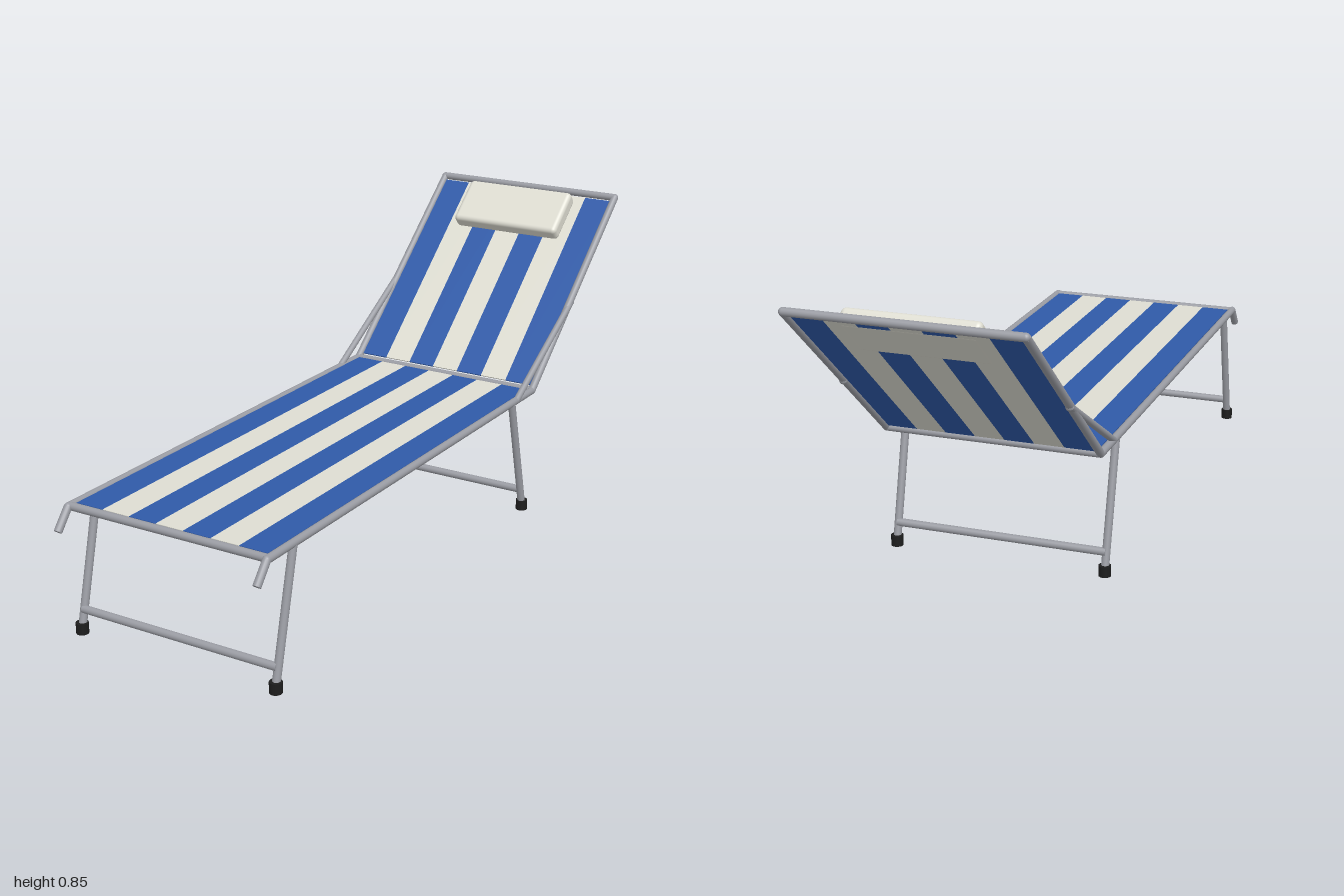
import * as THREE from 'three';
import { RoundedBoxGeometry } from 'three/addons/geometries/RoundedBoxGeometry.js';

const material = (name, color) => {
  const m = new THREE.MeshStandardMaterial({ color });
  m.name = name;
  return m;
};

export function createModel() {
  const metal = material('grey metal', 0x9a9ca3);
  const blue = material('blue canvas', 0x2f5aa8);
  const cream = material('cream canvas', 0xdeddd2);
  const rubber = material('black rubber', 0x1d1d1d);

  const model = new THREE.Group();
  model.name = 'sunLounger';
  const R = 0.011, X = 0.301, SEAT = 0.363;
  const hinge = new THREE.Vector3(0, SEAT, -0.44);
  const head = new THREE.Vector3(0, 0.836, -0.988);

  const add = (name, geometry, mat, parent = model) => {
    const mesh = new THREE.Mesh(geometry, mat);
    mesh.name = name;
    parent.add(mesh);
    return mesh;
  };

  // straight round bar between two points
  const up = new THREE.Vector3(0, 1, 0);
  const bar = (name, a, b, r = R) => {
    const from = new THREE.Vector3(...a), dir = new THREE.Vector3(...b).sub(from);
    const mesh = add(name, new THREE.CylinderGeometry(r, r, dir.length(), 16), metal);
    mesh.position.copy(from).addScaledVector(dir, 0.5);
    mesh.quaternion.setFromUnitVectors(up, dir.normalize());
  };
  const joint = (name, x, y, z) =>
    add(name, new THREE.SphereGeometry(R, 16, 10), metal).position.set(x, y, z);
  const crossBar = (name, y, z) => bar(name, [-X, y, z], [X, y, z]);

  // rails, backrest tubes, props and legs on each side
  for (const [side, s] of [['left', 1], ['right', -1]]) {
    const x = s * X;
    bar(side + 'SeatRail', [x, SEAT, 0.947], [x, SEAT, hinge.z]);
    bar(side + 'RailTip', [x, SEAT, 0.947], [x, 0.31, 0.99]);
    bar(side + 'BackrestTube', [x, SEAT, hinge.z], [x, head.y, head.z]);
    joint(side + 'FrontBend', x, SEAT, 0.947);
    joint(side + 'HingeJoint', x, SEAT, hinge.z);
    joint(side + 'HeadCorner', x, head.y, head.z);
    bar(side + 'BackrestProp', [x + s * 0.002, SEAT, -0.335], [x + s * 0.002, 0.574, -0.69], 0.0095);
    joint(side + 'PropJoint', x, 0.573, -0.688);

    for (const [end, z, dir] of [['Front', 0.835, 1], ['Rear', -0.31, -1]]) {
      const footZ = z + dir * 0.085;
      bar(side + end + 'Leg', [x, SEAT, z], [x, 0.015, footZ]);
      const foot = add(side + end + 'Foot', new THREE.CylinderGeometry(0.017, 0.017, 0.03, 20), rubber);
      foot.position.set(x, 0.015, footZ);
    }
  }

  // cross bars
  crossBar('frontCrossBar', SEAT, 0.94);
  crossBar('hingeCrossBar', SEAT, hinge.z);
  crossBar('headCrossBar', head.y, head.z);
  crossBar('frontLegBrace', 0.065, 0.912);
  crossBar('rearLegBrace', 0.065, -0.387);

  // striped canvas, its length along local z
  const canvas = (name, length) => {
    const group = new THREE.Group();
    group.name = name;
    const w = 0.58 / 7;
    for (let i = 0; i < 7; i++) {
      add(name + 'Stripe' + (i + 1), new THREE.BoxGeometry(w, 0.004, length), i % 2 ? cream : blue, group)
        .position.x = (i - 3) * w;
    }
    model.add(group);
    return group;
  };

  const seat = canvas('seatCanvas', 1.352);
  seat.position.set(0, SEAT + 0.004, 0.25);

  // backrest canvas and pillow share the tilt of the backrest
  const back = canvas('backrestCanvas', hinge.distanceTo(head) - 0.034);
  back.position.copy(hinge).lerp(head, 0.5);
  back.rotation.x = Math.atan2(head.y - hinge.y, hinge.z - head.z);

  const pillow = add('pillow', new RoundedBoxGeometry(0.356, 0.048, 0.157, 4, 0.014), cream, back);
  pillow.position.set(0, 0.0212, -0.252);

  return model;
}
